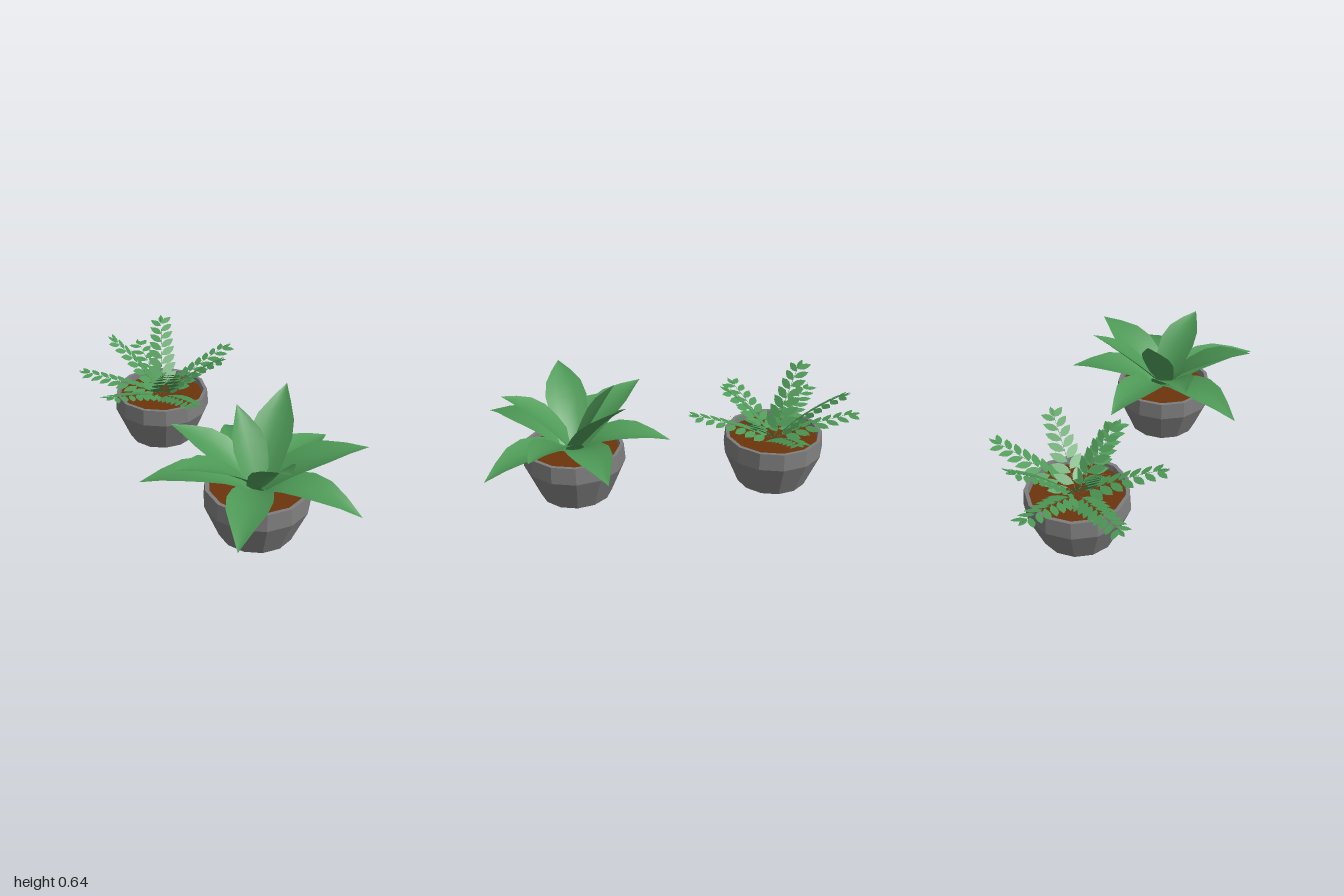
import * as THREE from 'three';
import { mergeGeometries } from 'three/addons/utils/BufferGeometryUtils.js';

const SIDES = 13;
const potMat = new THREE.MeshStandardMaterial({ color: 0x7d7d7d, flatShading: true });
const soilMat = new THREE.MeshStandardMaterial({ color: 0x6b340c, flatShading: true });
const leafMat = new THREE.MeshStandardMaterial({ color: 0x4e9a57, side: THREE.DoubleSide });
const UP = new THREE.Vector3(0, 1, 0);

function add(parent, name, geometry, material) {
  const mesh = new THREE.Mesh(geometry, material);
  mesh.name = name;
  parent.add(mesh);
  return mesh;
}

// Tapered faceted pot with a hollow rim, filled with soil; one corner points to +x
function makePot() {
  const pot = new THREE.Group();
  pot.name = 'pot';
  pot.position.x = -0.005;
  pot.rotation.y = Math.PI / 2;
  const profile = [[0, 0], [0.193, 0], [0.272, 0.192], [0.265, 0.285], [0.246, 0.285], [0.24, 0.22]]
    .map(([r, y]) => new THREE.Vector2(r, y));
  add(pot, 'potShell', new THREE.LatheGeometry(profile, SIDES), potMat);
  add(pot, 'soil', new THREE.CylinderGeometry(0.244, 0.24, 0.02, SIDES), soilMat).position.y = 0.24;
  return pot;
}

// Arching midrib from near the pot's centre to the tip
function makeRib([x, y, z], baseY, ctrlY, ctrlOut) {
  return new THREE.QuadraticBezierCurve3(
    new THREE.Vector3(x * 0.02, baseY, z * 0.02),
    new THREE.Vector3(x * ctrlOut, ctrlY, z * ctrlOut),
    new THREE.Vector3(x, y, z));
}

// Frame at a point of a rib: position, along, sideways and upper normal
function ribFrame(rib, t) {
  const p = rib.getPoint(t), along = rib.getTangent(t);
  const side = new THREE.Vector3().crossVectors(along, UP).normalize();
  const normal = new THREE.Vector3().crossVectors(side, along).normalize();
  return { p, along, side, normal };
}

// Half width of a broad leaf: widens slowly, then tapers to the tip
function halfWidth(t) {
  const k = 0.6;
  return t < k
    ? 0.065 + 0.047 * Math.sin((t / k) * Math.PI / 2)
    : 0.112 * Math.pow((1 - t) / (1 - k), 0.92);
}

// Broad leaf: a plane bent along its rib and cupped upward
function broadLeaf(rib, width) {
  const geo = new THREE.PlaneGeometry(2, 1, 4, 6);
  const pos = geo.attributes.position;
  for (let i = 0; i < pos.count; i++) {
    const s = pos.getX(i), t = pos.getY(i) + 0.5;
    const { p, side, normal } = ribFrame(rib, t);
    const w = halfWidth(t) * width;
    p.addScaledVector(side, s * w).addScaledVector(normal, 0.24 * w * s * s);
    pos.setXYZ(i, p.x, p.y, p.z);
  }
  geo.computeVertexNormals();
  return geo;
}

// Small pointed leaflet lying in the xy plane, growing along +y
const leafletShape = new THREE.Shape();
leafletShape.moveTo(0, 0);
leafletShape.quadraticCurveTo(0.46, 0.45, 0, 1);
leafletShape.quadraticCurveTo(-0.46, 0.45, 0, 0);
const leafletGeo = new THREE.ShapeGeometry(leafletShape, 4);

// Frond: hair-thin stem with staggered leaflets and one at the end
function frondGeometry(rib) {
  const parts = [new THREE.TubeGeometry(rib, 8, 0.0012, 3)];
  const placeLeaflet = (t, angle, size) => {
    const { p, along, side, normal } = ribFrame(rib, t);
    const matrix = new THREE.Matrix4().makeBasis(side, along, normal)
      .setPosition(p)
      .multiply(new THREE.Matrix4().makeRotationZ(angle))
      .multiply(new THREE.Matrix4().makeRotationX(-0.15))
      .scale(new THREE.Vector3(size, size, size));
    parts.push(leafletGeo.clone().applyMatrix4(matrix));
  };
  const pairs = Math.round(rib.getLength() / 0.066);
  for (let i = 0; i < pairs; i++) {
    const t = 0.1 + 0.74 * i / (pairs - 1);
    const size = 0.118 - 0.048 * t;
    placeLeaflet(t, 0.88, size);
    placeLeaflet(t + 0.04, -0.88, size);
  }
  placeLeaflet(0.88, 0, 0.064);
  return mergeGeometries(parts);
}

// Broad leaves: tip relative to the pot centre, height of the arch control, width
const broadLeaves = [
  [[0.09, 0.325, -0.505], 0.42, 1], [[-0.29, 0.505, -0.38], 0.45, 1],
  [[-0.53, 0.31, -0.25], 0.42, 1], [[-0.49, 0.555, 0.06], 0.49, 1],
  [[-0.38, 0.32, 0.455], 0.42, 1], [[-0.05, 0.565, 0.36], 0.49, 0.95],
  [[0.30, 0.265, 0.455], 0.41, 1], [[0.49, 0.47, 0.22], 0.45, 1],
  [[0.51, 0.33, -0.155], 0.41, 1], [[0.315, 0.64, -0.26], 0.46, 1],
  [[0.0, 0.62, -0.225], 0.44, 0.85],
];

// Frond tips relative to the pot centre
const frondTips = [
  [0.05, 0.40, -0.455], [0.165, 0.58, -0.345], [-0.40, 0.37, -0.29],
  [-0.42, 0.42, 0.18], [-0.02, 0.41, 0.465], [0.27, 0.53, 0.25],
  [0.47, 0.46, -0.03], [-0.23, 0.59, -0.19], [-0.08, 0.53, 0.27],
];

export function createModel() {
  const model = new THREE.Group();
  model.name = 'pottedPlants';

  const succulent = new THREE.Group();
  succulent.name = 'broadLeafPlant';
  succulent.position.set(0.008, 0, 0.54);
  succulent.add(makePot());
  for (const [tip, ctrlY, width] of broadLeaves)
    add(succulent, 'broadLeaf', broadLeaf(makeRib(tip, 0.25, ctrlY, 0.42), width), leafMat);

  const fern = new THREE.Group();
  fern.name = 'fernPlant';
  fern.position.set(0.008, 0, -0.54);
  fern.add(makePot());
  for (const tip of frondTips) {
    const ctrlY = 0.245 + 0.62 * (tip[1] - 0.245);
    add(fern, 'frond', frondGeometry(makeRib(tip, 0.245, ctrlY, 0.45)), leafMat);
  }

  model.add(succulent, fern);
  return model;
}
